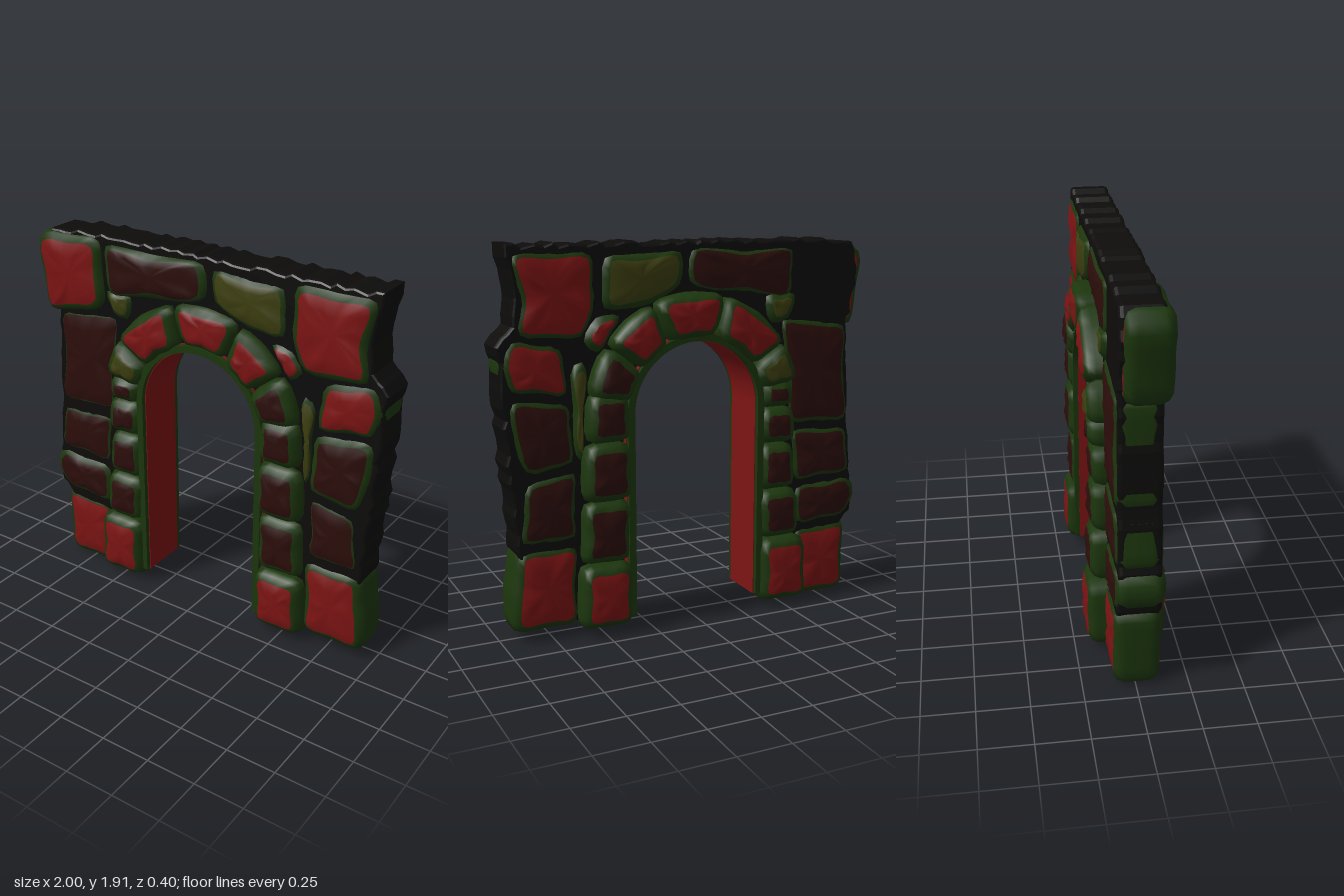
import * as THREE from 'three';

const RED = 0x7d1414, DARK = 0x2c0e0b, OLIVE = 0x3d3f10, RIM = 0x1c360d, BLACK = 0x0d0c0b;
const SPRING = 1.09; // height where the arch begins to curve

const mats = {};
const mat = (color) => (mats[color] ??= new THREE.MeshStandardMaterial({ color }));

// repeatable noise in -1..1
const noise = (a, b, c = 0) => {
  const s = Math.sin(a * 127.1 + b * 311.7 + c * 74.7) * 43758.5453;
  return 2 * (s - Math.floor(s)) - 1;
};

// divide a closed outline into short edges and roughen it
function roughen(pts, step, amount) {
  const out = [];
  pts.forEach(([x, y], i) => {
    const [x2, y2] = pts[(i + 1) % pts.length];
    const n = Math.max(1, Math.round(Math.hypot(x2 - x, y2 - y) / step));
    for (let k = 0; k < n; k++) {
      const px = x + ((x2 - x) * k) / n, py = y + ((y2 - y) * k) / n;
      out.push(new THREE.Vector2(px + noise(px, py) * amount, py + noise(py, px, 3) * amount));
    }
  });
  return out;
}

// worn stone: outline swept from back to front with rounded rims and pillowed faces
function stone(name, pts, zb, zf, color) {
  let line = roughen(pts, 0.055, 0.005);
  if (THREE.ShapeUtils.isClockWise(line)) line.reverse();
  const n = line.length;
  line = line.map((p, i) => p.clone().multiplyScalar(2)
    .add(line[(i + 1) % n]).add(line[(i + n - 1) % n]).multiplyScalar(0.25));
  const c = line.reduce((s, p) => s.add(p), new THREE.Vector2()).divideScalar(n);
  const half = [[0, 0.06], [0.014, 0.026], [0.045, 0.008], [0.12, 0]]; // inset, depth below the face
  const rings = [...half.map(([d, h]) => [d, zb + h]).reverse(), ...half.map(([d, h]) => [d, zf - h])];
  const last = rings.length - 1, back = n * rings.length;
  const pos = [], cap = [], rim = [];
  rings.forEach(([inset, z], r) => line.forEach((p) => {
    const q = p.clone().lerp(c, Math.min(0.6, inset / p.distanceTo(c)));
    const rough = r === 0 || r === last ? 0.007 : 0.003;
    pos.push(q.x, q.y, z + noise(q.x, q.y, r) * rough);
  }));
  pos.push(c.x, c.y, zb + 0.003, c.x, c.y, zf - 0.003);
  for (let i = 0; i < n; i++) {
    const j = (i + 1) % n;
    cap.push(back, j, i, back + 1, last * n + i, last * n + j);
    for (let r = 0; r < last; r++) {
      const a = r * n + i, b = r * n + j;
      (r === 0 || r === last - 1 ? cap : rim).push(a, b, b + n, a, b + n, a + n);
    }
  }
  const g = new THREE.BufferGeometry();
  g.setAttribute('position', new THREE.Float32BufferAttribute(pos, 3));
  g.setIndex([...cap, ...rim]);
  g.addGroup(0, cap.length, 0);
  g.addGroup(cap.length, rim.length, 1);
  g.computeVertexNormals();
  const mesh = new THREE.Mesh(g, [mat(color), mat(RIM)]);
  mesh.name = name;
  return mesh;
}

// horseshoe band following the opening
function archBand(name, rIn, rOut, y0, z0, z1, color) {
  const s = new THREE.Shape();
  s.moveTo(rOut, y0);
  s.lineTo(rOut, SPRING);
  s.absarc(0, SPRING, rOut, 0, Math.PI, false);
  s.lineTo(-rOut, y0);
  s.lineTo(-rIn, y0);
  s.lineTo(-rIn, SPRING);
  s.absarc(0, SPRING, rIn, Math.PI, 0, true);
  s.lineTo(rIn, y0);
  const g = new THREE.ExtrudeGeometry(s, { depth: z1 - z0, bevelEnabled: false, curveSegments: 28 });
  g.translate(0, 0, z0);
  const mesh = new THREE.Mesh(g, mat(color));
  mesh.name = name;
  return mesh;
}

function group(name) {
  const g = new THREE.Group();
  g.name = name;
  return g;
}

// mortar core with a ragged outer edge and an arched opening
function mortarCore() {
  const outer = [[0.37, 0.06], [0.88, 0.07], [0.92, 0.5], [0.95, 0.84], [0.975, 1.2], [0.99, 1.45],
    [0.92, 1.54], [0.91, 1.7], [0.94, 1.9], [-0.55, 1.905], [-0.92, 1.89], [-0.95, 1.7],
    [-0.9, 1.48], [-0.92, 0.9], [-0.96, 0.45], [-0.88, 0.38], [-0.88, 0.04], [-0.37, 0.05]];
  const edge = roughen(outer, 0.045, 0.011).filter((p) => p.y > 0.2 || Math.abs(p.x) > 0.36);
  const inner = [];
  for (let i = 0; i <= 24; i++) {
    const a = Math.PI * (1 - i / 24);
    inner.push(new THREE.Vector2(Math.cos(a) * 0.36, SPRING + Math.sin(a) * 0.36));
  }
  const g = new THREE.ExtrudeGeometry(new THREE.Shape([...edge, ...inner]), {
    depth: 0.16, bevelThickness: 0.02, bevelSize: 0.012, bevelOffset: -0.012, bevelSegments: 2 });
  g.translate(0, 0, -0.07);
  const mesh = new THREE.Mesh(g, mat(BLACK));
  mesh.name = 'mortarCore';
  return mesh;
}

// outer pier: a stone between each pair of joints [outer x, outer y, inner x, inner y, bulge above]
function pier(name, side, joints, colors) {
  const g = group(name);
  colors.forEach((color, i) => {
    const [x0, y0, u0, v0, bulge] = joints[i], [x1, y1, u1, v1] = joints[i + 1];
    const pts = [[u0, v0], [x0, y0], [(x0 + x1) / 2 + bulge, (y0 + y1) / 2], [x1, y1], [u1, v1]];
    g.add(stone('pierStone', pts.map(([x, y]) => [side * x, y]), -0.11, 0.13 + 0.01 * noise(i, side), color));
  });
  return g;
}

// proud stones beside the opening, from [top y, outer x] of each course
function jamb(name, side, base, courses) {
  const g = group(name);
  let y0 = base;
  courses.forEach(([y1, x], i) => {
    const z = i === 0 ? 0.195 : 0.175 + 0.01 * noise(i, side);
    g.add(stone('jambStone', [[side * 0.355, y0], [side * x, y0], [side * (x - 0.01), y1], [side * 0.355, y1]],
      -z, z, i === 0 ? RED : DARK));
    y0 = y1;
  });
  return g;
}

export function createModel() {
  const model = group('stoneArch');
  model.add(mortarCore());

  // lining of the opening and its raised trims
  model.add(
    archBand('openingLining', 0.332, 0.375, 0.075, -0.125, 0.125, RED),
    archBand('frontTrim', 0.336, 0.372, 0.08, 0.125, 0.15, RIM),
    archBand('backTrim', 0.336, 0.372, 0.08, -0.15, -0.125, RIM));

  // outer piers
  model.add(
    pier('rightPier', -1, [[0.91, 0, 0.6, 0.01, 0], [0.92, 0.41, 0.58, 0.39, 0.06], [0.95, 0.65, 0.57, 0.63, 0],
      [0.92, 0.93, 0.54, 0.94, -0.01], [0.9, 1.48, 0.48, 1.53]], [RED, DARK, DARK, DARK]),
    pier('leftPier', 1, [[0.95, 0.05, 0.61, 0.05, 0.015], [0.92, 0.475, 0.61, 0.48, 0], [0.89, 0.81, 0.61, 0.85, 0.03],
      [0.95, 1.21, 0.63, 1.18, 0.04], [0.95, 1.49, 0.66, 1.45]], [RED, DARK, DARK, RED]));

  // top course: corners and lintels
  const top = group('topCourse');
  top.add(
    stone('rightCorner', [[-1.01, 1.84], [-0.95, 1.88], [-0.59, 1.89], [-0.57, 1.55], [-0.64, 1.5], [-0.95, 1.44]],
      -0.08, 0.15, RED),
    stone('leftCorner', [[0.5, 1.88], [0.93, 1.88], [0.88, 1.62], [0.91, 1.46], [0.56, 1.44], [0.49, 1.6]],
      -0.11, 0.14, RED),
    stone('rightLintel', [[-0.59, 1.87], [0.04, 1.88], [0.05, 1.7], [-0.1, 1.65], [-0.57, 1.6]], -0.11, 0.14, DARK),
    stone('leftLintel', [[0.04, 1.87], [0.48, 1.85], [0.49, 1.58], [0.25, 1.58], [0.05, 1.69]], -0.12, 0.13, OLIVE));
  model.add(top);

  // small filler stones beside the arch head
  const filler = group('fillerStones');
  filler.add(
    stone('leftSliver', [[0.56, 1.38], [0.64, 1.36], [0.63, 0.9], [0.59, 0.85]], -0.13, 0.13, OLIVE),
    stone('rightHaunch', [[-0.6, 1.65], [-0.38, 1.64], [-0.42, 1.46], [-0.55, 1.48]], -0.12, 0.13, OLIVE),
    stone('leftHaunch', [[0.36, 1.58], [0.52, 1.58], [0.6, 1.44], [0.5, 1.36]], -0.12, 0.13, RED));
  model.add(filler);

  model.add(
    jamb('rightJamb', -1, 0.03, [[0.37, 0.63], [0.63, 0.59], [0.87, 0.57], [1.06, 0.57], [1.2, 0.55]]),
    jamb('leftJamb', 1, 0.04, [[0.36, 0.63], [0.67, 0.61], [0.96, 0.6], [1.2, 0.58]]));

  // wedge stones around the arch head, from model left to right
  const ring = group('archStones');
  const cuts = [9, 36, 66, 106, 148, 170];
  [DARK, RED, RED, RED, OLIVE].forEach((color, i) => {
    const at = (r, t) => {
      const a = THREE.MathUtils.degToRad(THREE.MathUtils.lerp(cuts[i], cuts[i + 1], t));
      return [r * Math.cos(a), SPRING + r * Math.sin(a)];
    };
    const pts = [...[0, 0.5, 1].map((t) => at(0.355, t)), ...[1, 0.5, 0].map((t) => at(0.58, t))];
    ring.add(stone('archStone', pts, -0.185, i === 2 ? 0.16 : 0.18, color));
  });
  model.add(ring);
  return model;
}
